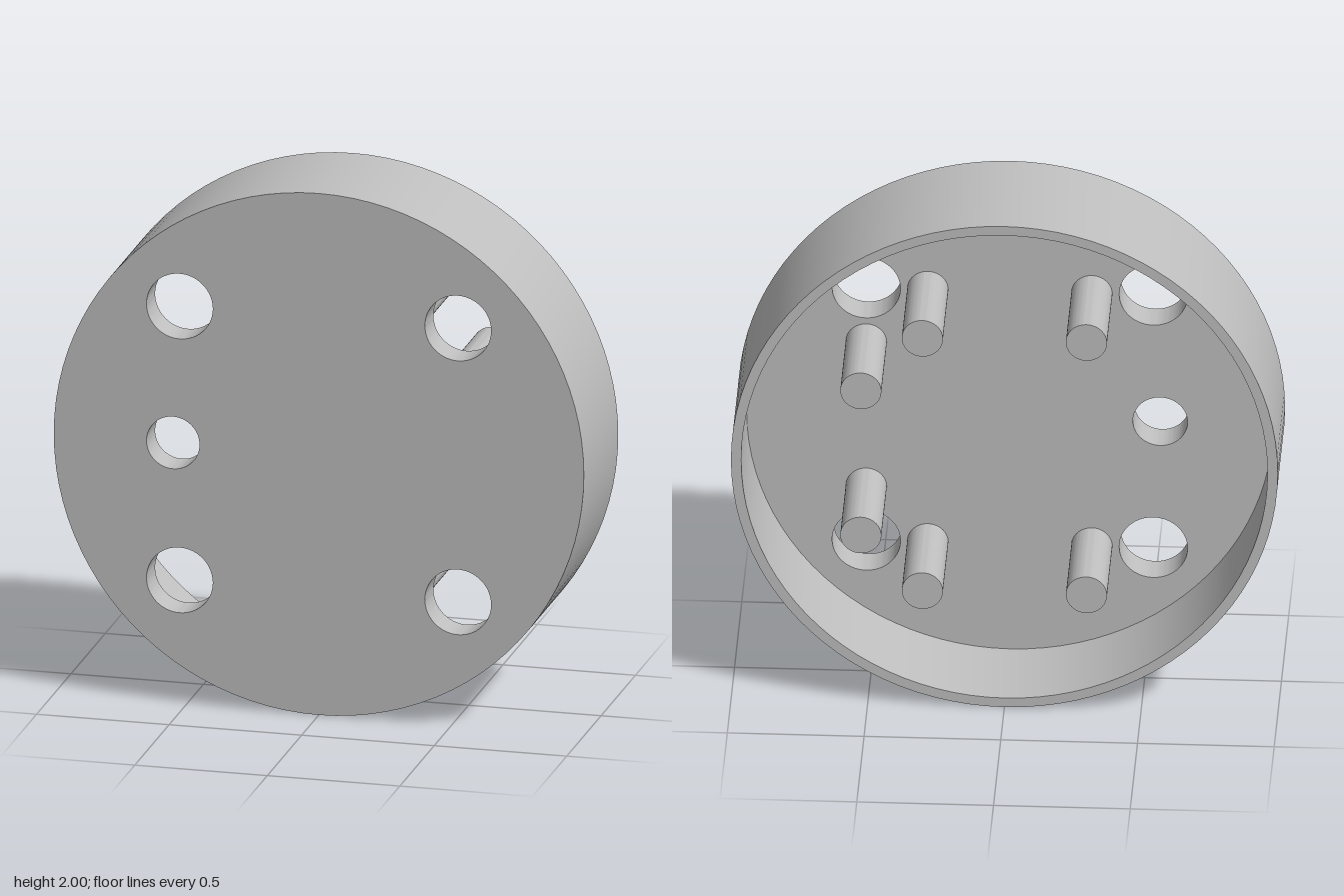
import * as THREE from 'three';
import { toCreasedNormals } from 'three/addons/utils/BufferGeometryUtils.js';

const SEGMENTS = 96;
const BACK = -0.25, FLOOR = 0.125, FRONT = 0.25;
const OUTER = 1, INNER = 0.9625;

// Mounting holes: x, y, radius
const HOLES = [
  [-0.525, 0.525, 0.125], [0.525, 0.525, 0.125],
  [-0.525, -0.525, 0.125], [0.525, -0.525, 0.125],
  [-0.55, 0, 0.1],
];
// Post centres, mirrored above and below
const POSTS = [[-0.3, 0.525], [0.3, 0.525], [0.525, 0.3]];
const POST_RADIUS = 0.075;

export function createModel() {
  const model = new THREE.Group();
  model.name = 'roundHousing';
  const grey = new THREE.MeshStandardMaterial({ color: 0xbfbfbf });
  grey.name = 'grey';

  const add = (name, geometry, x = 0, y = 0, z = 0) => {
    const mesh = new THREE.Mesh(geometry, grey);
    mesh.name = name;
    mesh.position.set(x, y + 1, z);
    model.add(mesh);
    return mesh;
  };

  // Turned surface around the z axis from [radius, z] pairs
  const turned = (profile) => {
    const points = profile.map(([r, z]) => new THREE.Vector2(r, z));
    const geometry = new THREE.LatheGeometry(points, SEGMENTS).rotateX(Math.PI / 2);
    return toCreasedNormals(geometry, Math.PI / 6);
  };

  // Flat disc pierced by the mounting holes
  const disc = (radius, mirror) => {
    const shape = new THREE.Shape().absarc(0, 0, radius, 0, Math.PI * 2);
    for (const [x, y, r] of HOLES) {
      shape.holes.push(new THREE.Path().absarc(mirror * x, y, r, 0, Math.PI * 2, true));
    }
    return new THREE.ShapeGeometry(shape, SEGMENTS / 2);
  };

  // Housing skin: inner wall, rear rim and outer wall
  add('housingWall', turned([[INNER, FLOOR], [INNER, BACK], [OUTER, BACK], [OUTER, FRONT]]));
  add('frontFace', disc(OUTER, 1), 0, 0, FRONT);
  add('innerFloor', disc(INNER, -1).rotateY(Math.PI), 0, 0, FLOOR);

  // Walls of the through holes
  for (const [x, y, r] of HOLES) {
    add('holeWall', turned([[r, FRONT], [r, FLOOR]]), x, y);
  }

  // Posts rising from the floor to the level of the rim
  for (const [x, y] of POSTS) {
    for (const side of [1, -1]) {
      add('post', turned([[0, BACK], [POST_RADIUS, BACK], [POST_RADIUS, FLOOR]]), x, side * y);
    }
  }

  return model;
}
